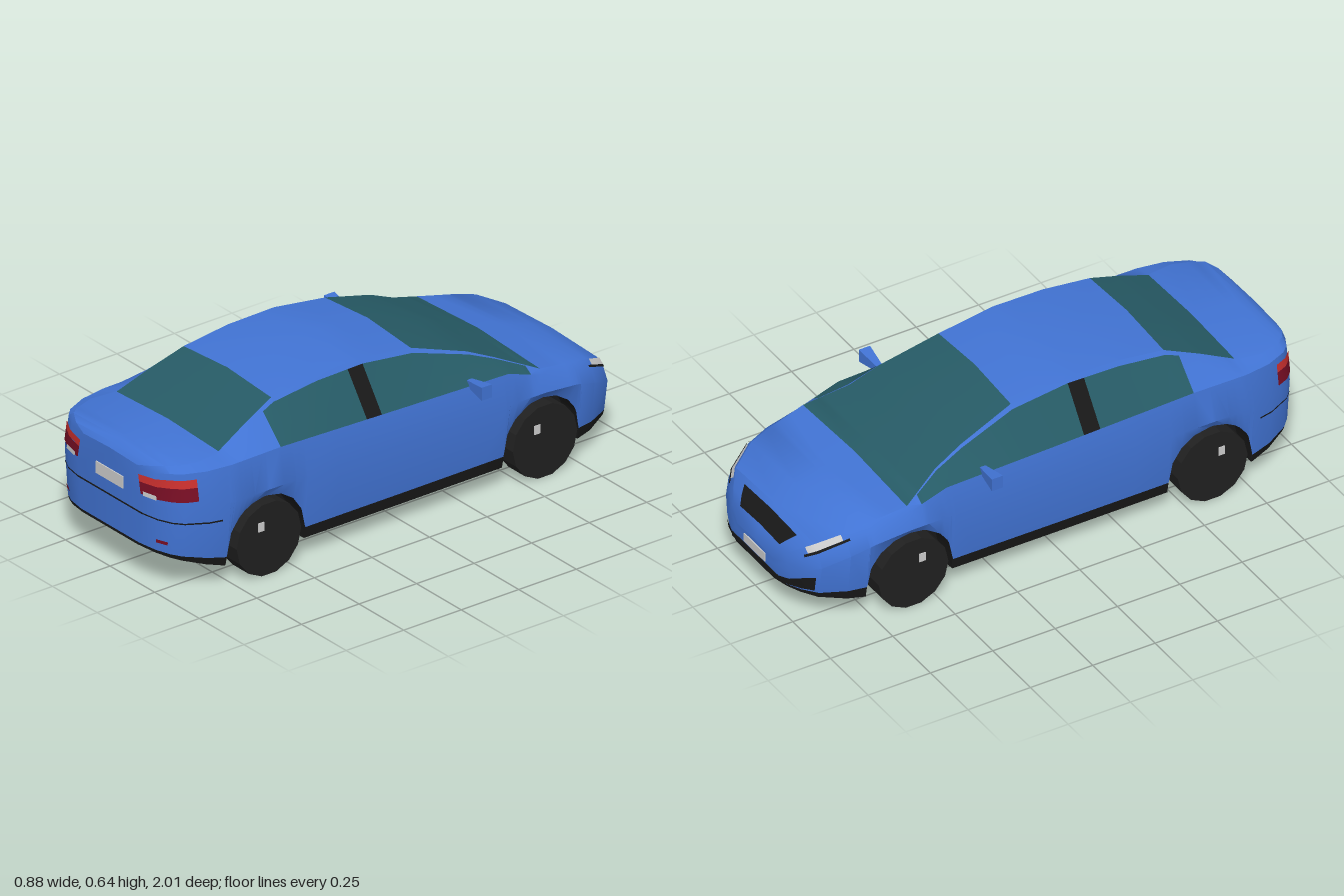
import * as THREE from 'three';
import { mergeVertices, toCreasedNormals } from 'three/addons/utils/BufferGeometryUtils.js';

const mat = (name, color) => Object.assign(new THREE.MeshStandardMaterial({ color }), { name });

// Body profile tables: [z, value], nose at -z, tail at +z
const TOP_Y = [[-1, .2], [-.985, .245], [-.96, .28], [-.92, .32], [-.83, .365], [-.74, .39], [-.6, .42], [-.34, .54],
  [-.12, .61], [.1, .64], [.3, .635], [.49, .61], [.62, .556], [.75, .495], [.96, .485], [.985, .475], [1, .46]];
const EDGE_X = [[-1, .12], [-.985, .17], [-.96, .21], [-.92, .26], [-.83, .31], [-.74, .325], [-.6, .345], [-.45, .285],
  [-.12, .24], [.49, .245], [.75, .285], [.85, .3], [.93, .275], [.96, .255], [.985, .21], [1, .15]];
const EDGE_DROP = [[-1, .008], [-.74, .015], [-.45, .02], [.49, .017], [.75, .012], [1, .005]];
const BELT_Y = [[-1, .17], [-.985, .21], [-.96, .25], [-.92, .285], [-.83, .33], [-.74, .355], [-.6, .385], [-.45, .435],
  [.54, .465], [.96, .46], [1, .445]];
const WIDE_X = [[-1, .15], [-.985, .21], [-.96, .26], [-.92, .31], [-.83, .355], [-.74, .375], [-.6, .382], [0, .385],
  [.75, .385], [.85, .37], [.93, .335], [.96, .305], [.985, .255], [1, .18]];
const WIDE_Y = [[-1, .15], [-.96, .21], [-.92, .235], [-.83, .28], [-.74, .31], [-.6, .325], [0, .33], [1, .33]];
const SILL_Y = [[-1, .12], [-.75, .125], [.7, .125], [.78, .115], [.9, .14], [1, .16]];
const FLOOR_Y = [[-1, .112], [-.78, .08], [.78, .08], [1, .15]];
const WHEEL_Z = [-.595, .605];
const ARCH = .165;

function lookup(table, z) {
  for (let i = 1; i < table.length; i++) {
    const [z0, a] = table[i - 1], [z1, b] = table[i];
    if (z <= z1) return a + (b - a) * (z - z0) / (z1 - z0);
  }
  return table[table.length - 1][1];
}

// Half cross-section from the top centre, round the side, to the bottom centre
function section(z) {
  const top = lookup(TOP_Y, z), ex = lookup(EDGE_X, z), ey = top - lookup(EDGE_DROP, z);
  const wx = lookup(WIDE_X, z), bx = wx - .022, by = lookup(BELT_Y, z);
  const floor = lookup(FLOOR_Y, z), sx = wx - .018, inner = Math.min(.27, sx - .02);
  let sill = lookup(SILL_Y, z), under = [sx - .008, floor];
  for (const c of WHEEL_Z) {
    const t = (z - c) / ARCH;
    if (Math.abs(t) < 1.002) {
      sill = .14 + .16 * Math.sqrt(Math.max(0, 1 - t * t));
      under = [inner, sill];
    }
  }
  return [[0, top], [ex, ey], [ex + (bx - ex) * .1, ey + (by - ey) * .1], [bx, by], [wx, lookup(WIDE_Y, z)],
    [sx, sill], under, [inner, floor], [0, floor]];
}

// Lengthwise stations: every table key, window edges and the wheel arches
const keys = [TOP_Y, EDGE_X, BELT_Y, WIDE_X, SILL_Y].flat().map(p => p[0]).concat([-.55, .165, -.2, .7]);
for (const c of WHEEL_Z) {
  keys.push(c - ARCH - .004, c + ARCH + .004);
  for (let k = 0; k <= 8; k++) keys.push(c + ARCH * Math.cos(k * Math.PI / 8));
}
const STATIONS = [...new Set(keys.map(k => Math.round(k * 1e4) / 1e4))].sort((a, b) => a - b);

// Adds a quad and its mirror image
function addQuad(out, a, b, c, d) {
  const m = p => [-p[0], p[1], p[2]];
  for (const t of [[a, b, c], [a, c, d]]) {
    out.push(...t.flat(), ...m(t[0]), ...m(t[2]), ...m(t[1]));
  }
}

function geometryOf(positions) {
  const g = new THREE.BufferGeometry();
  g.setAttribute('position', new THREE.Float32BufferAttribute(positions, 3));
  return g;
}

// Point on the body surface at station z, s counted along the section
function surfacePoint(z, s) {
  const sec = section(z), j = Math.min(Math.floor(s), sec.length - 2), t = s - j;
  return [sec[j][0] + (sec[j + 1][0] - sec[j][0]) * t, sec[j][1] + (sec[j + 1][1] - sec[j][1]) * t, z];
}

// Thin mirrored plate that follows the body, lifted slightly off it
function patch(z0, z1, s0, s1, lift = .004) {
  const zs = [z0, ...STATIONS.filter(z => z > z0 + .001 && z < z1 - .001), z1], pos = [];
  for (let i = 1; i < zs.length; i++) {
    addQuad(pos, surfacePoint(zs[i - 1], s0), surfacePoint(zs[i], s0), surfacePoint(zs[i], s1), surfacePoint(zs[i - 1], s1));
  }
  const g = mergeVertices(geometryOf(pos));
  g.computeVertexNormals();
  const p = g.attributes.position, n = g.attributes.normal;
  for (let i = 0; i < p.count; i++) {
    p.setXYZ(i, p.getX(i) + n.getX(i) * lift, p.getY(i) + n.getY(i) * lift, p.getZ(i) + n.getZ(i) * lift);
  }
  return g;
}

export function createModel() {
  const car = new THREE.Group();
  car.name = 'car';
  const paint = mat('blue paint', 0x4173d3), glass = mat('teal glass', 0x265a65), trim = mat('black trim', 0x181818);
  const tyre = mat('tyre rubber', 0x202020), red = mat('bright red', 0xcc302e), darkRed = mat('dark red', 0x780e24);
  const white = mat('pale grey', 0xcccccc);

  const add = (name, geo, material, x = 0, y = 0, z = 0) => {
    const mesh = new THREE.Mesh(geo, material);
    mesh.name = name;
    mesh.position.set(x, y, z);
    car.add(mesh);
    return mesh;
  };

  // Shell: panels, windows and underside sorted by strip and station
  const shell = { paint: [], glass: [], trim: [] };
  const kind = (j, z) => {
    if (j >= 5) return 'trim';
    if (j === 0 && ((z > -.6 && z < -.12) || (z > .49 && z < .75))) return 'glass';
    if (j === 2 && z > .1 && z < .165) return 'trim';
    if (j === 2 && z > -.55 && z < .54) return 'glass';
    return 'paint';
  };
  const rings = STATIONS.map(z => section(z).map(([x, y]) => [x, y, z]));
  for (let i = 1; i < rings.length; i++) {
    const A = rings[i - 1], B = rings[i], mid = (STATIONS[i - 1] + STATIONS[i]) / 2;
    for (let j = 0; j < A.length - 1; j++) addQuad(shell[kind(j, mid)], A[j], B[j], B[j + 1], A[j + 1]);
  }
  // Nose and tail caps
  for (const [ring, rear] of [[rings[0], false], [rings[rings.length - 1], true]]) {
    for (let j = 0; j < 6; j++) {
      const p = ring[j], q = ring[j + 1], a = [0, p[1], p[2]], b = [0, q[1], q[2]];
      const out = shell[j >= 5 ? 'trim' : 'paint'];
      rear ? addQuad(out, a, b, q, p) : addQuad(out, p, q, b, a);
    }
  }
  const smooth = positions => toCreasedNormals(geometryOf(positions), .6);
  add('bodyPanels', smooth(shell.paint), paint);
  add('windows', smooth(shell.glass), glass);
  add('underbodyAndPillars', smooth(shell.trim), trim);

  // Tail lights, reflectors and rear seam
  add('tailLightUpper', patch(.885, 1, 3.17, 3.4), red);
  add('tailLightLower', patch(.885, 1, 3.4, 3.78), darkRed);
  add('reversingLights', patch(.985, .997, 3.66, 3.8, .008), white);
  add('rearReflectors', patch(.965, .985, 4.74, 4.81), darkRed);
  add('rearSeam', patch(.8, 1, 4.28, 4.31, .002), trim);
  add('rearSeamCentre', new THREE.BoxGeometry(.36, .005, .004), trim, 0, .28, 1);

  // Headlights, grille and lower intake
  add('headlights', patch(-.94, -.84, 1.3, 2.7), white);
  add('headlightTrim', patch(-.95, -.82, 2.7, 3), trim);
  add('grille', patch(-.978, -.935, 0, .72), trim);
  add('lowerIntake', patch(-1, -.93, 4.35, 4.9), trim);
  add('lowerIntakeCentre', new THREE.BoxGeometry(.3, .017, .006), trim, 0, .132, -1);

  // Number plates left blank
  add('rearPlate', new THREE.BoxGeometry(.15, .046, .008), white, 0, .357, 1);
  add('frontPlate', new THREE.BoxGeometry(.14, .034, .008), white, 0, .165, -1);

  // Wheels
  const wheelGeo = new THREE.CylinderGeometry(.14, .14, .092, 14).rotateZ(Math.PI / 2);
  tyre.flatShading = true;
  for (const side of [-1, 1]) {
    for (const z of WHEEL_Z) {
      const name = (z < 0 ? 'nose' : 'tail') + (side > 0 ? 'Left' : 'Right') + 'Wheel';
      add(name, wheelGeo, tyre, side * .335, .14, z);
      add(name + 'Mark', new THREE.BoxGeometry(.004, .034, .025), white, side * .382, .195, z + .035);
    }
    // Door mirror: a block tapering towards the door
    const g = new THREE.BoxGeometry(.1, .05, .045), p = g.attributes.position;
    for (let i = 0; i < p.count; i++) {
      if (p.getX(i) * side < 0) p.setXYZ(i, p.getX(i), p.getY(i) * .45, p.getZ(i) * .5);
    }
    g.computeVertexNormals();
    add(side > 0 ? 'leftMirror' : 'rightMirror', g, paint, side * .392, .445, -.295);
  }
  return car;
}
